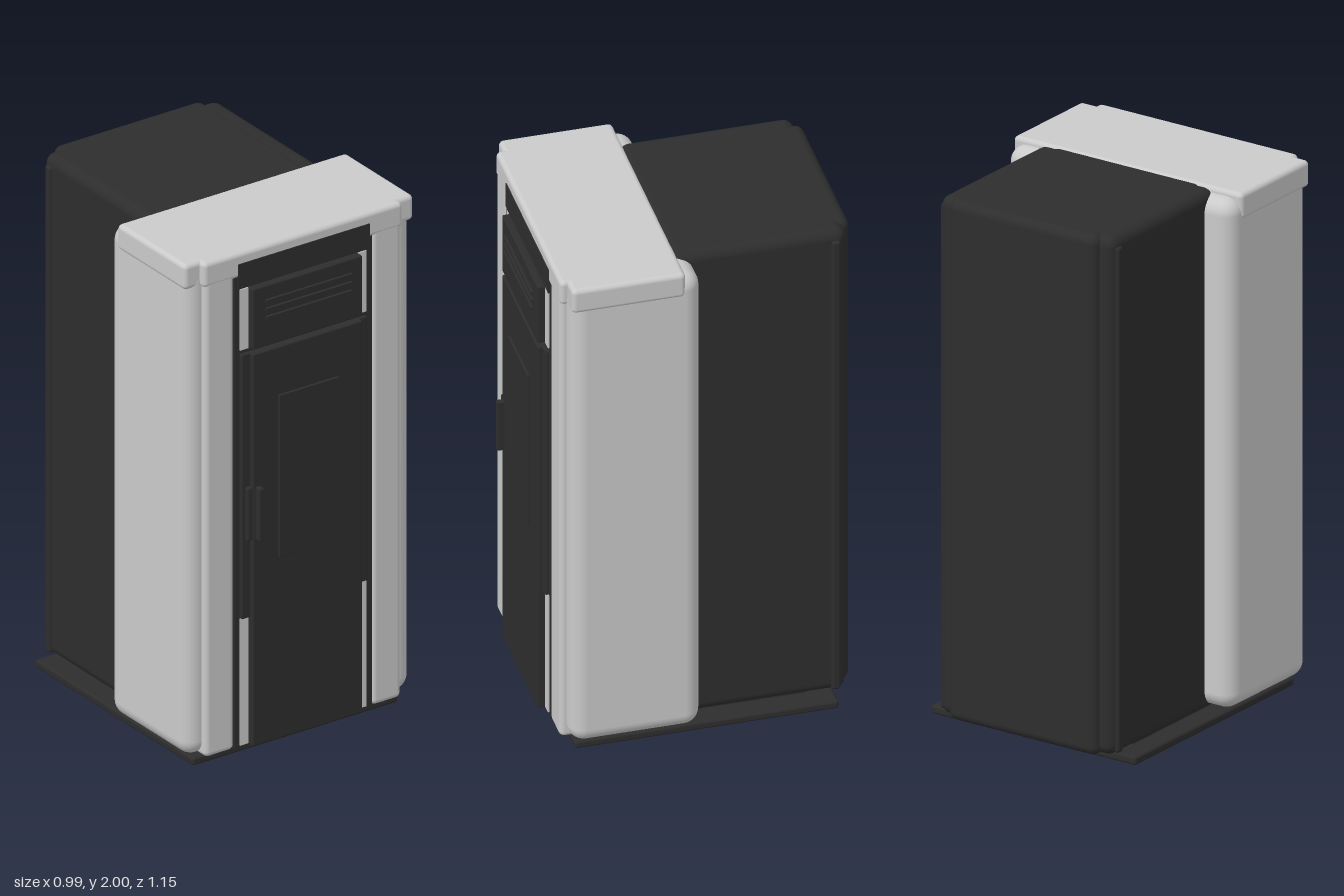
import * as THREE from 'three';
import { RoundedBoxGeometry } from 'three/addons/geometries/RoundedBoxGeometry.js';

export function createModel() {
  const stove = new THREE.Group();
  stove.name = 'stove';
  const grey = new THREE.MeshStandardMaterial({ name: 'lightGrey', color: 0xcacaca });
  const dark = new THREE.MeshStandardMaterial({ name: 'charcoal', color: 0x2d2d2d });

  // Box given by its x, y and z ranges, with optional edge radius
  function box(name, mat, [x0, x1], [y0, y1], [z0, z1], r = 0) {
    const w = x1 - x0, h = y1 - y0, d = z1 - z0;
    const geo = r
      ? new RoundedBoxGeometry(w, h, d, 4, Math.min(r, w / 2.01, h / 2.01, d / 2.01))
      : new THREE.BoxGeometry(w, h, d);
    const mesh = new THREE.Mesh(geo, mat);
    mesh.name = name;
    mesh.position.set((x0 + x1) / 2, (y0 + y1) / 2, (z0 + z1) / 2);
    stove.add(mesh);
    return mesh;
  }

  // Base plate with a curved lip at the front
  box('basePlate', dark, [-0.445, 0.445], [0, 0.032], [-0.5, 0.47], 0.01);
  box('underTray', dark, [-0.36, 0.36], [0.025, 0.06], [-0.4, 0.46]);
  const lip = new THREE.Shape();
  lip.moveTo(-0.38, 0.025);
  lip.quadraticCurveTo(-0.31, 0.03, -0.29, 0.055);
  lip.lineTo(0.29, 0.055);
  lip.quadraticCurveTo(0.31, 0.03, 0.38, 0.025);
  const lipMesh = new THREE.Mesh(
    new THREE.ExtrudeGeometry(lip, { depth: 0.1, bevelEnabled: false, curveSegments: 6 }), dark);
  lipMesh.name = 'baseLip';
  lipMesh.position.z = 0.38;
  stove.add(lipMesh);

  // Rear body: nested rounded shells give the stepped back corners
  box('rearBody', dark, [-0.378, 0.378], [0.03, 1.998], [-0.55, 0.09], 0.04);
  box('backPanel', dark, [-0.325, 0.325], [0.025, 2], [-0.575, 0.092], 0.035);
  for (const s of [-1, 1]) {
    const c = s * 0.375;
    box('rearCornerBead', dark, [c - 0.013, c + 0.013], [0.04, 1.96], [-0.525, -0.49], 0.012);
  }
  box('core', dark, [-0.31, 0.31], [0.045, 1.93], [0, 0.5]);

  // Light side columns and their raised front faces
  for (const s of [-1, 1]) {
    const span = (a, b) => (s > 0 ? [a, b] : [-b, -a]);
    box('sideColumn', grey, span(0.295, 0.492), [0.045, 1.98], [0.015, 0.495], 0.06);
    box('frontColumn', grey, span(0.298, 0.425), [0.045, 1.95], [0.3, 0.519], 0.02);
  }

  // Top cap
  box('topCap', grey, [-0.497, 0.497], [1.9, 2], [0.075, 0.493], 0.018);
  box('topCapFront', grey, [-0.432, 0.432], [1.9, 2], [0.3, 0.52], 0.018);

  // Front frame
  box('frontFrame', dark, [-0.298, 0.298], [0.045, 1.91], [0.4, 0.516]);
  box('frameHeader', dark, [-0.285, 0.285], [1.86, 1.958], [0.45, 0.524]);

  // Light trim strips beside the lower and upper panels
  for (const x of [-0.258, 0.254]) {
    for (const y of [[0.055, 0.555], [1.615, 1.855]]) {
      box('trimStrip', grey, [x - 0.018, x + 0.018], y, [0.514, 0.521]);
    }
  }

  // Lower panel, door and upper grille panel
  box('lowerPanel', dark, [-0.24, 0.235], [0.052, 0.56], [0.5, 0.548], 0.005);
  box('doorFrame', dark, [-0.275, 0.27], [0.555, 1.6], [0.5, 0.53], 0.006);
  box('door', dark, [-0.24, 0.235], [0.555, 1.6], [0.5, 0.549], 0.006);
  box('window', dark, [-0.132, 0.128], [0.77, 1.412], [0.545, 0.558], 0.003);
  box('grillePanel', dark, [-0.24, 0.235], [1.617, 1.857], [0.5, 0.549], 0.006);
  for (const y of [1.733, 1.766, 1.799]) {
    box('grilleSlat', dark, [-0.187, 0.184], [y - 0.005, y + 0.005], [0.545, 0.56]);
  }

  // Door handle: hinge bar and grip
  box('handleBar', dark, [-0.261, -0.239], [0.867, 1.075], [0.52, 0.547], 0.005);
  box('handleGrip', dark, [-0.23, -0.208], [0.867, 1.075], [0.54, 0.575], 0.005);

  return stove;
}
